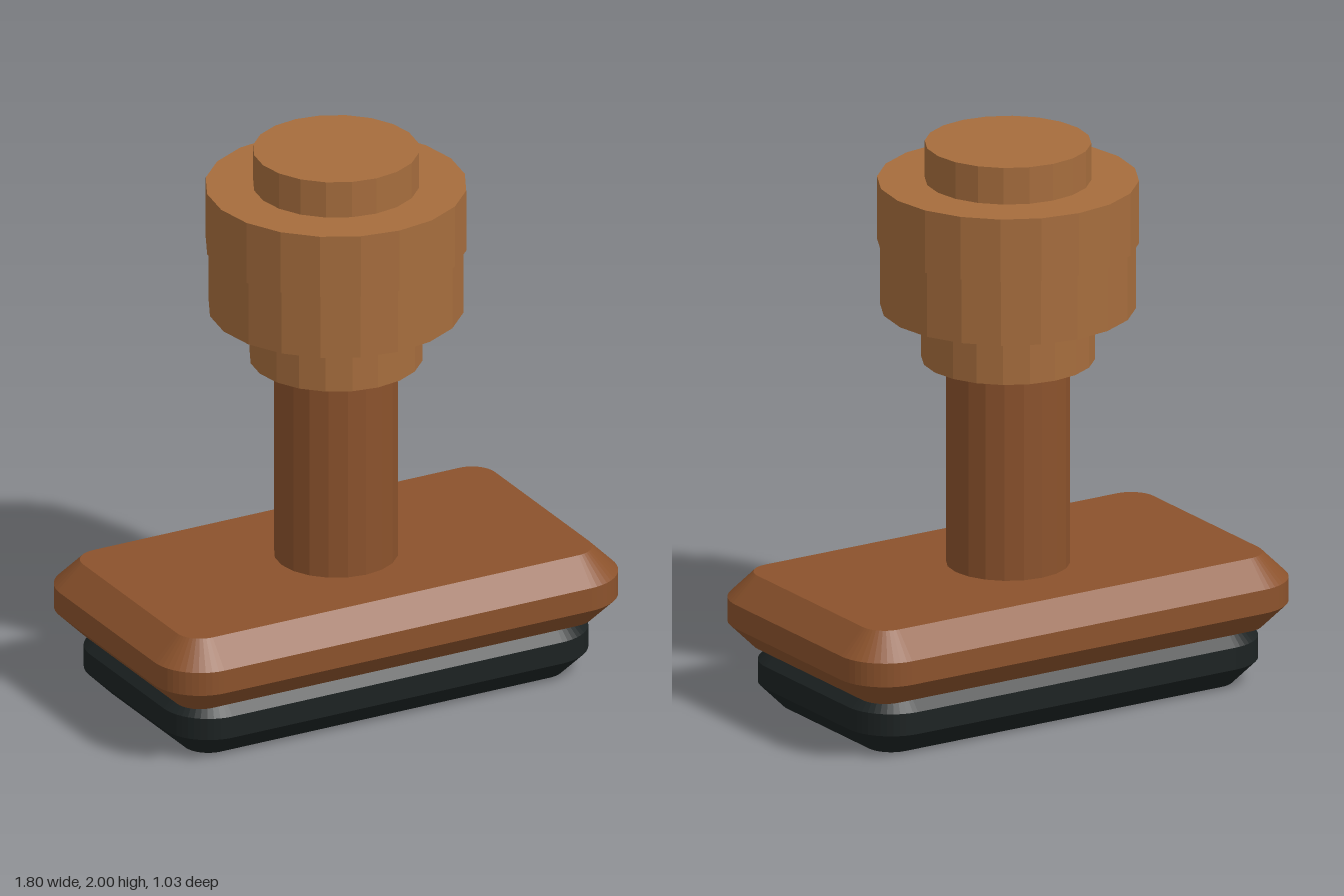
import * as THREE from 'three';

const material = (color) => new THREE.MeshStandardMaterial({ color, flatShading: true });

// Rounded rectangle outline, centred on the origin
function roundedRect(halfW, halfD, r) {
  const s = new THREE.Shape();
  s.absarc(halfW - r, halfD - r, r, 0, Math.PI / 2);
  s.absarc(-halfW + r, halfD - r, r, Math.PI / 2, Math.PI);
  s.absarc(-halfW + r, -halfD + r, r, Math.PI, Math.PI * 1.5);
  s.absarc(halfW - r, -halfD + r, r, Math.PI * 1.5, Math.PI * 2);
  s.closePath();
  return s;
}

// Horizontal slab with single-step chamfers above and below
function slab(name, halfW, halfD, bottom, top, bevel, mat) {
  const shape = roundedRect(halfW - bevel, halfD - bevel, 0.09);
  const geometry = new THREE.ExtrudeGeometry(shape, {
    depth: top - bottom - 2 * bevel,
    bevelThickness: bevel,
    bevelSize: bevel,
    bevelSegments: 1,
    curveSegments: 6,
  });
  geometry.rotateX(-Math.PI / 2);
  geometry.translate(0, bottom + bevel, 0);
  const mesh = new THREE.Mesh(geometry, mat);
  mesh.name = name;
  return mesh;
}

// Upright twenty-sided disc or post
function post(name, radius, bottom, top, mat) {
  const geometry = new THREE.CylinderGeometry(radius, radius, top - bottom, 20);
  geometry.translate(0, (bottom + top) / 2, 0);
  const mesh = new THREE.Mesh(geometry, mat);
  mesh.name = name;
  return mesh;
}

export function createModel() {
  const group = new THREE.Group();
  group.name = 'handStamp';
  const rubber = material(0x1c2222);
  const darkWood = material(0x8b522c);
  const lightWood = material(0xa66d3d);

  // Rubber pad and wooden base plate
  group.add(slab('rubberPad', 0.825, 0.438, 0, 0.252, 0.086, rubber));
  group.add(slab('basePlate', 0.902, 0.515, 0.209, 0.475, 0.09, darkWood));

  // Handle: shaft and stepped knob
  group.add(post('shaft', 0.215, 0.44, 1.215, darkWood));
  group.add(post('knobCollar', 0.3, 1.215, 1.405, lightWood));
  group.add(post('knobLower', 0.443, 1.405, 1.64, lightWood));
  group.add(post('knobUpper', 0.453, 1.64, 1.867, lightWood));
  group.add(post('knobCap', 0.288, 1.867, 2, lightWood));
  return group;
}
